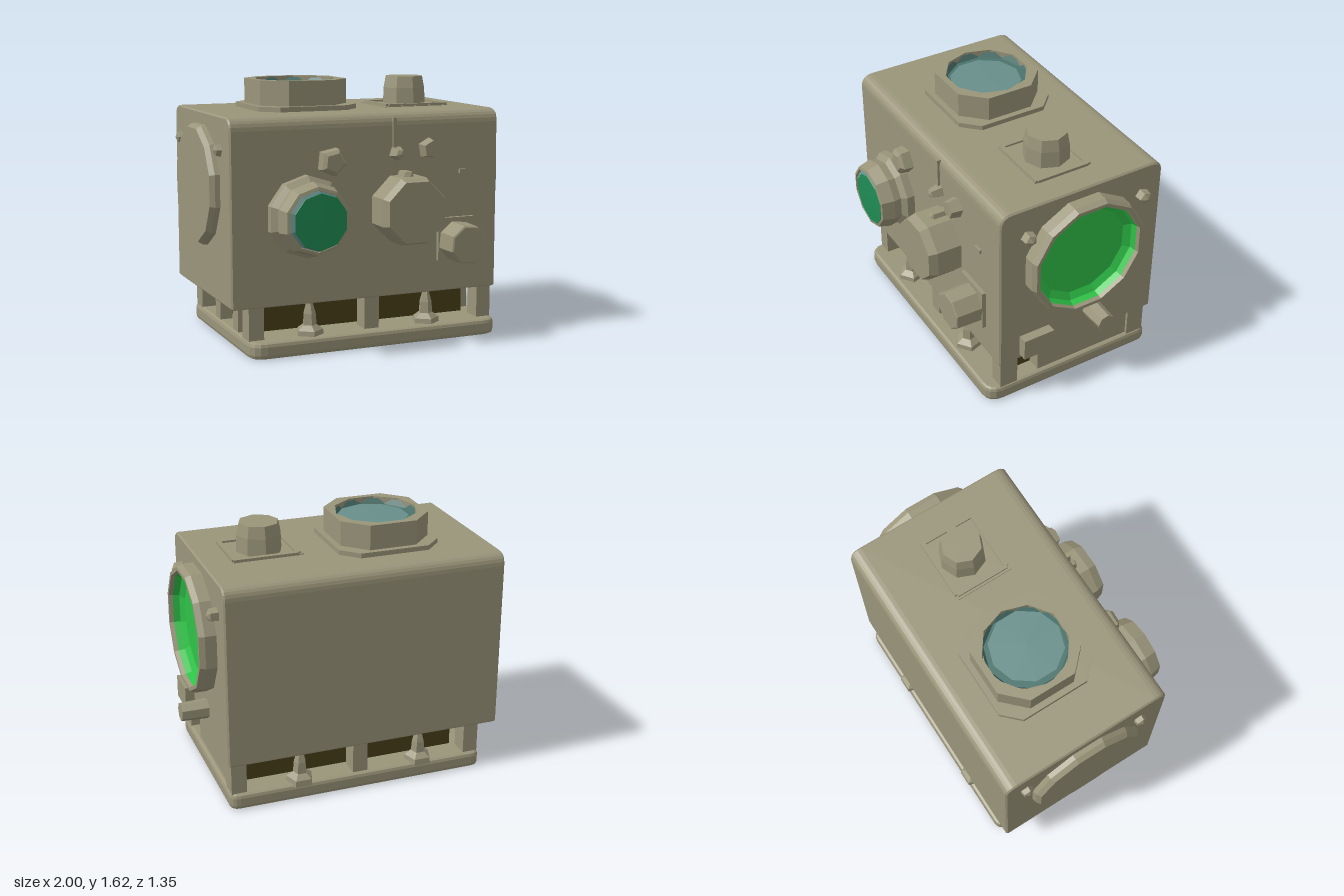
import * as THREE from 'three';

const paint = (name, color) => {
  const m = new THREE.MeshStandardMaterial({ color, flatShading: true });
  m.name = name;
  return m;
};

export function createModel() {
  const shell = paint('olive grey shell', 0x9a957a);
  const dark = paint('dark interior', 0x4a401a);
  const green = paint('green glass', 0x2fc348);
  const deepGreen = paint('deep green glass', 0x208c54);
  const teal = paint('teal glass', 0x688f8b);
  const darkTeal = paint('dark teal glass', 0x4b736c);

  const model = new THREE.Group();
  model.name = 'instrumentBox';
  const add = (name, geo, mat, pos = [0, 0, 0]) => {
    const mesh = new THREE.Mesh(geo, mat);
    mesh.name = name;
    mesh.position.set(...pos);
    model.add(mesh);
    return mesh;
  };

  // Box given by its limits
  const box = (name, x0, x1, y0, y1, z0, z1, mat = shell) =>
    add(name, new THREE.BoxGeometry(x1 - x0, y1 - y0, z1 - z0), mat,
      [(x0 + x1) / 2, (y0 + y1) / 2, (z0 + z1) / 2]);

  // Turned part pointing along a chosen axis; profile is [radius, height]
  const turned = (name, dir, pos, sides, profile, mat = shell, twist = 0) => {
    const geo = new THREE.LatheGeometry(profile.map(p => new THREE.Vector2(...p)), sides);
    geo.rotateY(twist);
    if (dir === 'front') geo.rotateX(Math.PI / 2);
    if (dir === 'left') geo.rotateZ(-Math.PI / 2);
    if (dir === 'right') geo.rotateZ(Math.PI / 2);
    return add(name, geo, mat, pos);
  };

  // Rounded rectangle outline, separate radii for its lower and upper corners
  const rounded = (x0, x1, y0, y1, low, high) => {
    const s = new THREE.Shape();
    s.moveTo(x0 + low, y0);
    s.lineTo(x1 - low, y0);
    s.quadraticCurveTo(x1, y0, x1, y0 + low);
    s.lineTo(x1, y1 - high);
    s.quadraticCurveTo(x1, y1, x1 - high, y1);
    s.lineTo(x0 + high, y1);
    s.quadraticCurveTo(x0, y1, x0, y1 - high);
    s.lineTo(x0, y0 + low);
    s.quadraticCurveTo(x0, y0, x0 + low, y0);
    return s;
  };

  // Main housing, rounded along the top edges
  const housing = new THREE.ExtrudeGeometry(rounded(-0.45, 0.67, 0.3, 1.44, 0.012, 0.08), {
    depth: 1.75, curveSegments: 6, bevelEnabled: true,
    bevelThickness: 0.01, bevelSize: 0.01, bevelOffset: -0.01, bevelSegments: 1,
  });
  housing.rotateY(Math.PI / 2);
  add('housing', housing, shell, [-0.93, 0, 0]);

  // Base plate with a thinner lip
  const base = new THREE.ExtrudeGeometry(rounded(-0.84, 0.82, -0.52, 0.67, 0.1, 0.06), {
    depth: 0.05, curveSegments: 4, bevelEnabled: true,
    bevelThickness: 0.025, bevelSize: 0.02, bevelOffset: -0.02, bevelSegments: 2,
  });
  base.rotateX(-Math.PI / 2);
  add('basePlate', base, shell, [0, 0.025, 0]);

  // Dark core and the posts between base and housing
  box('darkCore', -0.7, 0.7, 0.09, 0.31, -0.5, 0.24, dark);
  box('sidePanel', 0.7, 0.79, 0.09, 0.31, -0.6, 0.15);
  for (const z of [-0.58, 0.37]) {
    for (const x of [-0.78, -0.025, 0.76]) {
      box('post', x - 0.048, x + 0.048, 0.09, 0.31, z - 0.06, z + 0.06);
    }
    // Small pointed clamps
    for (const x of [-0.43, 0.36]) {
      turned('clamp', 'up', [x, 0.09, z + 0.03 * Math.sign(z)], 5,
        [[0, 0], [0.09, 0], [0.085, 0.04], [0.045, 0.07], [0.04, 0.14], [0.02, 0.21], [0, 0.21]]);
    }
  }
  for (const z of [-0.2, 0.15]) box('sidePost', -0.82, -0.74, 0.09, 0.31, z - 0.05, z + 0.05);

  // Large side window: ring and sunken green glass
  const T = Math.PI / 12;
  turned('sideRing', 'left', [0.83, 0.99, -0.11], 12,
    [[0.4, -0.01], [0.4, 0.07], [0.385, 0.105], [0.362, 0.105], [0.355, 0.08]], shell, T);
  turned('sideGlass', 'left', [0.83, 0.99, -0.11], 12,
    [[0.358, 0.09], [0.345, 0.04], [0.3, 0.015], [0, 0.012]], green, T);

  // Blank cover on the opposite side
  turned('sideCover', 'right', [-0.94, 0.99, -0.11], 12,
    [[0.385, -0.01], [0.38, 0.03], [0.36, 0.06], [0, 0.06]], shell, T);

  // Side bolts, peg and block
  for (const z of [-0.53, 0.27]) {
    turned('sideBolt', 'left', [0.83, 1.24, z], 5, [[0.045, -0.01], [0.04, 0.05], [0, 0.07]]);
    turned('sideBolt', 'right', [-0.94, 1.24, z], 5, [[0.045, -0.01], [0.035, 0.03], [0, 0.045]]);
  }
  turned('sidePeg', 'left', [0.83, 0.485, -0.21], 7, [[0.065, -0.01], [0.058, 0.17], [0, 0.17]]);
  box('sideBlock', 0.82, 0.89, 0.34, 0.485, 0.1, 0.31);

  // Front lens with stepped barrel and glass
  turned('lensBarrel', 'front', [-0.47, 0.84, 0.45], 10,
    [[0.25, -0.01], [0.25, 0.05], [0.215, 0.08], [0.225, 0.13], [0.205, 0.21], [0.185, 0.215], [0.18, 0.2]]);
  turned('lensRim', 'front', [-0.46, 0.84, 0.45], 10, [[0.195, 0.2], [0.165, 0.216]], teal);
  turned('lensGlass', 'front', [-0.455, 0.835, 0.45], 10, [[0.18, 0.2], [0.17, 0.217], [0, 0.222]], deepGreen);

  // Blank front barrel
  turned('blankBarrel', 'front', [0.17, 0.85, 0.45], 8,
    [[0.22, -0.01], [0.22, 0.16], [0.2, 0.215], [0, 0.215]], shell, Math.PI / 8);
  turned('barrelLug', 'front', [0.17, 1.05, 0.44], 5, [[0.04, 0], [0.04, 0.1], [0, 0.12]]);

  // Small front knob on a square plate
  box('knobPlate', 0.41, 0.665, 0.5, 0.77, 0.44, 0.475);
  turned('frontKnob', 'front', [0.54, 0.62, 0.45], 8,
    [[0.13, -0.01], [0.125, 0.19], [0.115, 0.195], [0, 0.195]], shell, 0.3);

  // Front bolts, latch and tab
  turned('frontBolt', 'front', [-0.31, 1.16, 0.45], 5, [[0.092, -0.01], [0.085, 0.06], [0.06, 0.08], [0, 0.08]], shell, 0.2);
  turned('frontBolt', 'front', [0.34, 1.21, 0.45], 5, [[0.07, -0.01], [0.055, 0.07], [0, 0.07]], shell, 0.5);
  box('frontTab', 0.56, 0.62, 1.045, 1.07, 0.44, 0.465);
  box('latchStrip', 0.1, 0.125, 1.22, 1.41, 0.44, 0.465);
  turned('latchKnob', 'front', [0.125, 1.19, 0.45], 5, [[0.05, -0.01], [0.03, 0.07], [0, 0.08]]);

  // Top turret: flat-sided well with sunken glass
  const turret = (name, y0, y1, r, cut, hole) => {
    const s = new THREE.Shape();
    const pts = [[r, cut], [cut, r], [-cut, r], [-r, cut], [-r, -cut], [-cut, -r], [cut, -r], [r, -cut]];
    s.setFromPoints(pts.map(p => new THREE.Vector2(...p)));
    if (hole) s.holes.push(new THREE.Path().absarc(0, 0, hole, 0, Math.PI * 2, true));
    const g = new THREE.ExtrudeGeometry(s, { depth: y1 - y0, bevelEnabled: false, curveSegments: 5 });
    g.rotateX(-Math.PI / 2);
    return add(name, g, shell, [-0.31, y0, -0.13]);
  };
  turret('turretFoot', 1.43, 1.47, 0.325, 0.22);
  turret('turretWall', 1.46, 1.625, 0.288, 0.15, 0.26);
  turned('turretWell', 'up', [-0.31, 1.55, -0.13], 10, [[0.262, 0.065], [0.245, 0.03], [0, 0.03]], darkTeal);
  turned('turretGlass', 'up', [-0.295, 1.58, -0.115], 10, [[0.225, 0.004], [0, 0.008]], teal);

  // Small top post inside a shallow square frame
  box('framePad', 0.21, 0.65, 1.43, 1.446, -0.27, 0.11);
  for (const s of [-1, 1]) {
    const z = -0.085 + s * 0.175, x = 0.44 + s * 0.2;
    box('frameBar', 0.24, 0.65, 1.43, 1.458, z - 0.015, z + 0.015);
    box('frameBar', x - 0.015, x + 0.015, 1.43, 1.458, -0.26, 0.09);
  }
  turned('topPost', 'up', [0.44, 1.44, -0.1], 8, [[0.145, 0], [0.14, 0.11], [0.125, 0.185], [0, 0.185]]);

  return model;
}
